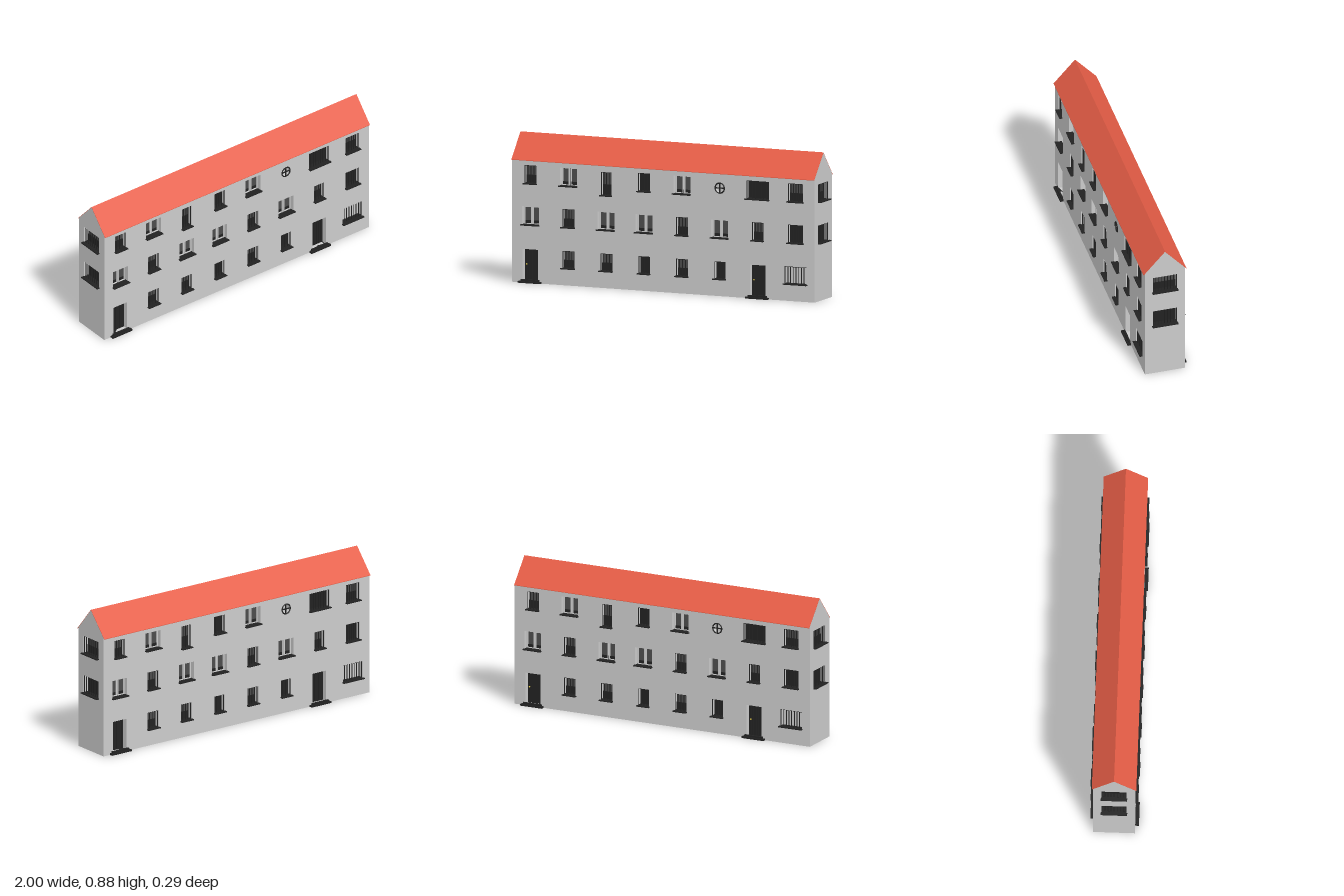
import * as THREE from 'three';

const mat = (color, side = THREE.FrontSide) => new THREE.MeshStandardMaterial({ color, side });
const WALL = mat(0xcccccc, THREE.DoubleSide);
const FRAME = mat(0xcccccc);
const DARK = mat(0x222222);
const GLASS = mat(0x4c4c4c);
const ROOF = mat(0xe65d46, THREE.DoubleSide);
const BRASS = mat(0xd8c040);

const HALF_L = 0.98, HALF_D = 0.123, EAVE = 0.736, RIDGE = 0.875, DEPTH = 0.036;

function add(parent, name, geometry, material, x = 0, y = 0, z = 0) {
  const m = new THREE.Mesh(geometry, material);
  m.name = name;
  m.position.set(x, y, z);
  parent.add(m);
  return m;
}
const box = (parent, name, material, w, h, d, x, y, z) =>
  add(parent, name, new THREE.BoxGeometry(w, h, d), material, x, y, z);

function rectPath(x0, y0, x1, y1, Type = THREE.Path) {
  const p = new Type();
  p.moveTo(x0, y0);
  p.lineTo(x1, y0);
  p.lineTo(x1, y1);
  p.lineTo(x0, y1);
  p.closePath();
  return p;
}

// Rectangular ring, used for reveals and casement frames
function ring(w, h, t, depth) {
  const s = rectPath(-w / 2 - t, -h / 2 - t, w / 2 + t, h / 2 + t, THREE.Shape);
  s.holes.push(rectPath(-w / 2, -h / 2, w / 2, h / 2));
  return new THREE.ExtrudeGeometry(s, { depth, bevelEnabled: false });
}

function sill(g, w, h) {
  box(g, 'sill', DARK, w + 0.008, 0.006, DEPTH + 0.018, 0, -h / 2, (0.018 - DEPTH) / 2);
}

// Window closed by a grille of upright bars
function barred(g, { w, h, half, light }) {
  add(g, 'reveal', ring(w, h, 0.002, DEPTH), FRAME, 0, 0, -DEPTH);
  box(g, 'pane', light ? FRAME : half ? GLASS : DARK, w, h, 0.003, 0, 0, -DEPTH);
  if (half) box(g, 'lowerPanel', DARK, w, h * 0.45, 0.004, 0, -h * 0.275, -DEPTH + 0.004);
  const n = Math.max(4, Math.round(w / 0.018));
  for (let i = 0; i <= n; i++) {
    box(g, 'bar', DARK, 0.004, h, 0.004, (i / n - 0.5) * (w - 0.004), 0, -0.008);
  }
  for (const s of [-1, 1]) box(g, 'rail', DARK, w, 0.004, 0.004, 0, s * (h / 2 - 0.002), -0.008);
  sill(g, w, h);
}

// Double casement with light frames
function casement(g, { w, h }) {
  add(g, 'reveal', ring(w, h, 0.002, DEPTH), FRAME, 0, 0, -DEPTH);
  box(g, 'pane', GLASS, w, h, 0.003, 0, 0, -DEPTH);
  box(g, 'lowerPanel', DARK, w, h * 0.2, 0.004, 0, -h * 0.38, -DEPTH + 0.003);
  const sash = ring(w / 2 - 0.016, h - 0.014, 0.006, 0.008);
  for (const s of [-1, 1]) add(g, 'sash', sash, FRAME, s * w / 4, 0, -DEPTH + 0.004);
  sill(g, w, h);
}

// Round window with a cross
function round(g, { w }) {
  const r = w / 2;
  const tube = new THREE.CylinderGeometry(r, r, DEPTH, 24, 1, true).rotateX(Math.PI / 2);
  add(g, 'reveal', tube, WALL, 0, 0, -DEPTH / 2);
  add(g, 'pane', new THREE.CircleGeometry(r, 24), WALL, 0, 0, -DEPTH);
  add(g, 'rim', new THREE.TorusGeometry(r - 0.003, 0.004, 6, 24), DARK);
  box(g, 'crossBar', DARK, w, 0.006, 0.006, 0, 0, -0.002);
  box(g, 'crossBar', DARK, 0.006, w, 0.006, 0, 0, -0.002);
}

// Planked door with knob and two steps
function door(g, { w, h }) {
  add(g, 'reveal', ring(w, h, 0.002, DEPTH), FRAME, 0, 0, -DEPTH);
  box(g, 'doorLeaf', DARK, w, h, 0.006, 0, 0, -DEPTH);
  for (let i = 0; i < 6; i++) {
    box(g, 'plank', DARK, w / 6 - 0.004, h - 0.006, 0.004, ((i + 0.5) / 6 - 0.5) * w, 0, -DEPTH + 0.004);
  }
  add(g, 'knob', new THREE.SphereGeometry(0.005, 10, 8), BRASS, -w * 0.36, 0.002, -DEPTH + 0.009);
  box(g, 'lowerStep', DARK, 0.145, 0.01, DEPTH + 0.022, 0, -h / 2 - 0.005, (0.022 - DEPTH) / 2);
  box(g, 'upperStep', DARK, 0.12, 0.01, 0.012, 0, -h / 2 + 0.005, 0.006);
}

// Flat wall with openings, facing +z
function buildWall(name, outline, openings) {
  const wall = new THREE.Group();
  wall.name = name;
  const shape = new THREE.Shape(outline.map(([x, y]) => new THREE.Vector2(x, y)));
  for (const o of openings) {
    if (o.make === round) {
      shape.holes.push(new THREE.Path().absarc(o.x, o.y, o.w / 2, 0, Math.PI * 2, true));
    } else {
      shape.holes.push(rectPath(o.x - o.w / 2, o.y - o.h / 2, o.x + o.w / 2, o.y + o.h / 2));
    }
    const g = new THREE.Group();
    g.name = o.make === door ? 'door' : 'window';
    g.position.set(o.x, o.y, 0);
    o.make(g, o);
    wall.add(g);
  }
  add(wall, 'wallFace', new THREE.ShapeGeometry(shape, 24), WALL);
  return wall;
}

const opening = (make, x, y0, y1, w, extra = {}) =>
  ({ make, x, y: (y0 + y1) / 2, w, h: y1 - y0, ...extra });

function longOpenings() {
  const X = i => -0.86 + i * 0.245;
  const half = { half: true };
  const top = (make, i, w, e) => opening(make, X(i), 0.59, 0.7, w, e);
  const mid = (make, i, w, e) => opening(make, X(i), 0.344, 0.454, w, e);
  const low = (i, w, e) => opening(barred, X(i), 0.1, 0.205, w, e);
  return [
    top(barred, 0, 0.08, half), top(casement, 1, 0.11),
    opening(barred, X(2), 0.55, 0.69, 0.07, half),
    top(barred, 3, 0.08), top(casement, 4, 0.11),
    opening(round, X(5), 0.61, 0.676, 0.066),
    top(barred, 6, 0.148), top(barred, 7, 0.1, half),
    mid(casement, 0, 0.11), mid(barred, 1, 0.08, half), mid(casement, 2, 0.11),
    mid(casement, 3, 0.11), mid(barred, 4, 0.08, half), mid(casement, 5, 0.11),
    mid(barred, 6, 0.075, half), mid(barred, 7, 0.1),
    opening(door, X(0), 0.01, 0.2, 0.1),
    low(1, 0.08, half), low(2, 0.08, half), low(3, 0.075), low(4, 0.08, half), low(5, 0.075),
    opening(door, X(6), 0.01, 0.2, 0.1),
    low(7, 0.145, { light: true }),
  ];
}

export function createModel() {
  const model = new THREE.Group();
  model.name = 'house';

  const longOutline = [[-HALF_L, 0], [HALF_L, 0], [HALF_L, EAVE], [-HALF_L, EAVE]];
  const gableOutline = [[-HALF_D, 0], [HALF_D, 0], [HALF_D, EAVE], [0, RIDGE], [-HALF_D, EAVE]];
  const gableOpenings = [
    opening(barred, 0, 0.344, 0.452, 0.148),
    opening(barred, 0, 0.59, 0.697, 0.148, { half: true }),
  ];

  // The house repeats itself when turned half way round
  for (const [i, side] of ['front', 'back'].entries()) {
    const long = buildWall(side + 'Wall', longOutline, longOpenings());
    long.position.z = i ? -HALF_D : HALF_D;
    long.rotation.y = i * Math.PI;
    model.add(long);

    const gable = buildWall(i ? 'rightGable' : 'leftGable', gableOutline, gableOpenings);
    gable.position.x = i ? -HALF_L : HALF_L;
    gable.rotation.y = i ? -Math.PI / 2 : Math.PI / 2;
    model.add(gable);
  }

  // Thin pitched roof running the full length
  const chevron = new THREE.Shape([
    [-0.131, 0.727], [0, RIDGE], [0.131, 0.727], [0.131, 0.73], [0, RIDGE + 0.003], [-0.131, 0.73],
  ].map(([x, y]) => new THREE.Vector2(x, y)));
  const roof = new THREE.ExtrudeGeometry(chevron, { depth: HALF_L * 2, bevelEnabled: false });
  roof.translate(0, 0, -HALF_L).rotateY(Math.PI / 2);
  add(model, 'roof', roof, ROOF);

  return model;
}
